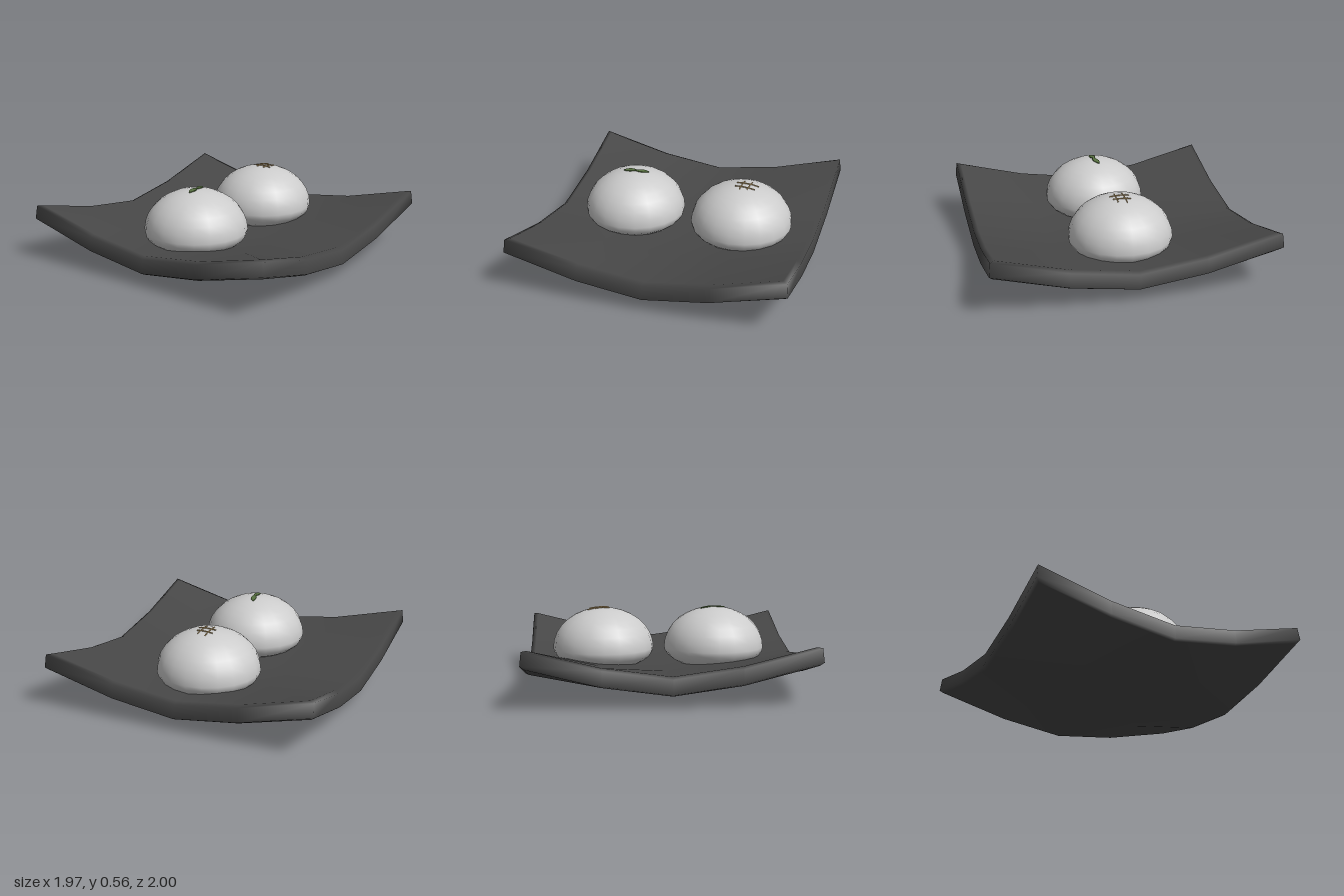
import * as THREE from 'three';
import { mergeVertices } from 'three/addons/utils/BufferGeometryUtils.js';

const BUN = { radius: 0.368, equator: 0.262, up: 0.292, down: 0.16 };

const material = (color) => new THREE.MeshStandardMaterial({ color });

function addMesh(parent, name, geometry, mat) {
  const mesh = new THREE.Mesh(geometry, mat);
  mesh.name = name;
  parent.add(mesh);
  return mesh;
}

// Joins all seams of a reshaped geometry so it shades smoothly
function smooth(geo) {
  geo.deleteAttribute('normal');
  geo.deleteAttribute('uv');
  const merged = mergeVertices(geo);
  merged.computeVertexNormals();
  return merged;
}

// Height of the bun's upper surface at an offset from its middle
function bunTop(x, z) {
  const r2 = (x * x + z * z) / BUN.radius ** 2;
  return BUN.equator + BUN.up * Math.sqrt(Math.max(0, 1 - r2));
}

// Square dish: a slab with rounded rims whose corners curl upwards
function plateGeometry() {
  const geo = new THREE.BoxGeometry(4, 3, 4, 4, 3, 4);
  const columns = [0, 0.47, 1];
  const layers = [ // rim inset and height of each layer, bottom to top
    { inset: 0.975, y: 0 }, { inset: 1, y: 0.009 },
    { inset: 0.99, y: 0.11 }, { inset: 0.957, y: 0.13 },
  ];
  const p = geo.attributes.position;
  for (let i = 0; i < p.count; i++) {
    const layer = layers[Math.round(p.getY(i) + 1.5)];
    const place = (c) => {
      const k = Math.round(Math.abs(c));
      return Math.sign(c) * columns[k] * (k === 2 ? layer.inset : 1);
    };
    const u = place(p.getX(i)), v = place(p.getZ(i));
    const a = Math.abs(u), b = Math.abs(v);
    const curl = 0.085 * (a ** 1.35 + b ** 1.35) + 0.12 * (a * b) ** 1.6;
    p.setXYZ(i, u * (0.975 + 0.012 * b), layer.y + curl, v * (0.985 + 0.013 * a));
  }
  return smooth(geo);
}

// Domed bun with a squashed underside
function bunGeometry() {
  const geo = new THREE.SphereGeometry(1, 20, 16);
  const p = geo.attributes.position;
  for (let i = 0; i < p.count; i++) {
    const y = p.getY(i);
    p.setXYZ(i, p.getX(i) * BUN.radius,
      BUN.equator + y * (y > 0 ? BUN.up : BUN.down), p.getZ(i) * BUN.radius);
  }
  return smooth(geo);
}

// Pointed leaf laid over the bun
function leafGeometry(x, z, length, width, angle) {
  const h = length / 2;
  const shape = new THREE.Shape();
  shape.moveTo(-h, 0);
  shape.bezierCurveTo(-h * 0.5, width, h * 0.5, width, h, 0);
  shape.bezierCurveTo(h * 0.5, -width, -h * 0.5, -width, -h, 0);
  const geo = new THREE.ExtrudeGeometry(shape, { depth: 0.006, bevelEnabled: false, curveSegments: 8 });
  geo.rotateX(-Math.PI / 2).rotateY(angle).translate(x, 0, z);
  const p = geo.attributes.position;
  for (let i = 0; i < p.count; i++) {
    p.setY(i, p.getY(i) + bunTop(p.getX(i), p.getZ(i)) - 0.001);
  }
  geo.computeVertexNormals();
  return geo;
}

// Thin strand following the bun's surface between two offsets
function strandGeometry([x0, z0], [x1, z1]) {
  const points = [];
  for (let i = 0; i <= 4; i++) {
    const x = THREE.MathUtils.lerp(x0, x1, i / 4);
    const z = THREE.MathUtils.lerp(z0, z1, i / 4);
    points.push(new THREE.Vector3(x, bunTop(x, z) + 0.002, z));
  }
  return new THREE.TubeGeometry(new THREE.CatmullRomCurve3(points), 8, 0.0045, 6, false);
}

export function createModel() {
  const model = new THREE.Group();
  model.name = 'bunsOnDish';
  addMesh(model, 'dish', plateGeometry(), material(0x484848));

  const dough = material(0xcccccc);
  const makeBun = (name, x) => {
    const group = new THREE.Group();
    group.name = name;
    group.position.x = x;
    addMesh(group, name + 'Dough', bunGeometry(), dough);
    model.add(group);
    return group;
  };

  // Right bun with two leaves
  const leafBun = makeBun('leafBun', -0.385);
  const green = material(0x56703f);
  addMesh(leafBun, 'leafRight', leafGeometry(-0.037, 0.004, 0.1, 0.028, 0.1), green);
  addMesh(leafBun, 'leafLeft', leafGeometry(0.053, -0.006, 0.1, 0.026, 0.3), green);

  // Left bun with a lattice of crossed strands
  const latticeBun = makeBun('latticeBun', 0.43);
  const tan = material(0xc4a671);
  const strands = [
    [[0.002, -0.06], [-0.004, 0.075]],
    [[0.058, -0.06], [0.048, 0.065]],
    [[-0.045, -0.022], [0.115, -0.024]],
    [[-0.045, 0.034], [0.1, 0.038]],
  ];
  strands.forEach(([a, b], i) => addMesh(latticeBun, 'strand' + (i + 1), strandGeometry(a, b), tan));

  return model;
}
